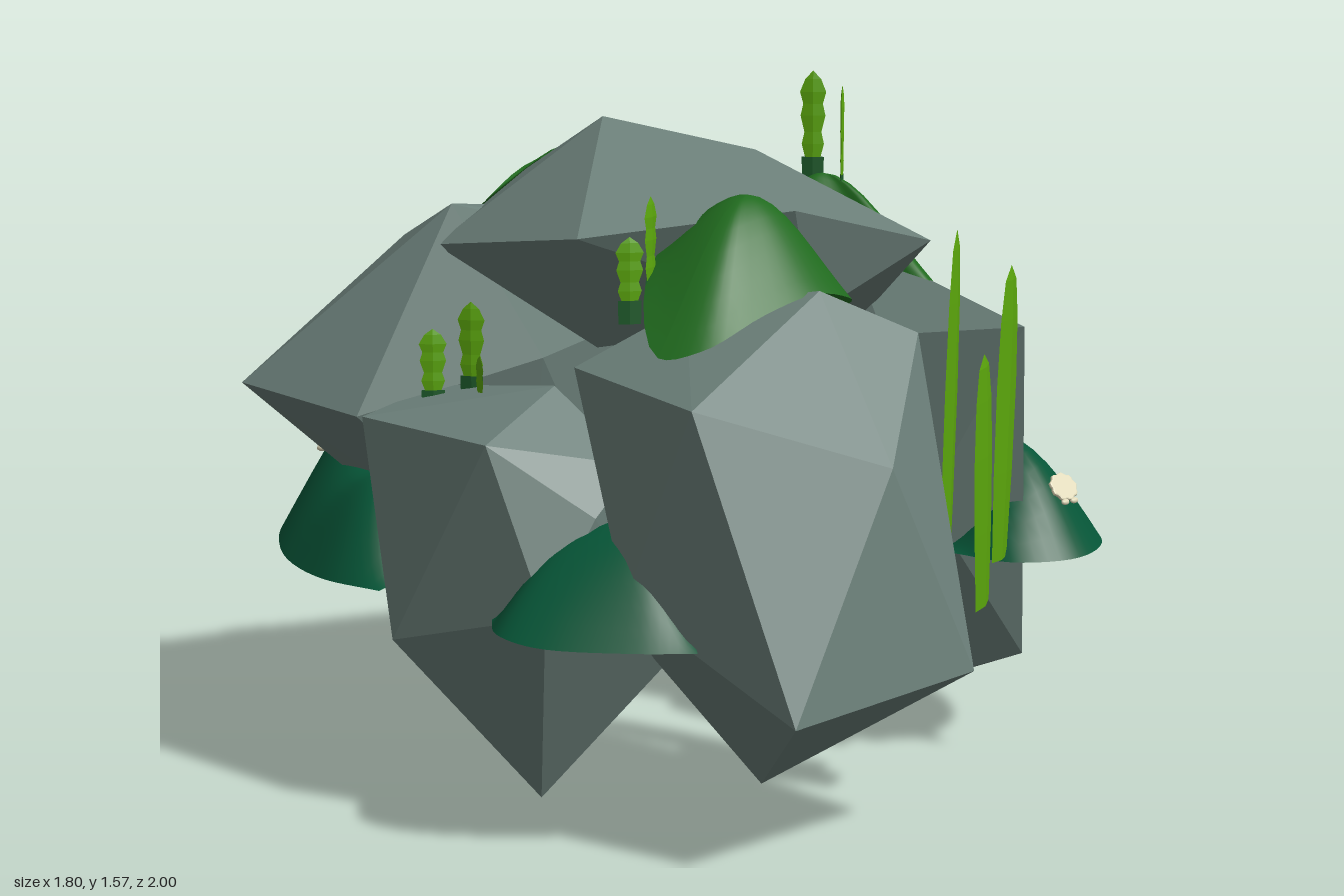
import * as THREE from 'three';
import { ConvexGeometry } from 'three/addons/geometries/ConvexGeometry.js';

const V = (p) => new THREE.Vector3(p[0], p[1], p[2]);
const mat = (name, color, side = THREE.FrontSide) => {
  const m = new THREE.MeshStandardMaterial({ color, side });
  m.name = name;
  return m;
};

export function createModel() {
  const root = new THREE.Group();
  root.name = 'rockArch';
  const stone = mat('stone', 0x6b7f79);
  stone.flatShading = true;
  const shelfGreen = mat('darkMoss', 0x065537, THREE.DoubleSide);
  const mossGreen = mat('moss', 0x206a1e, THREE.DoubleSide);
  const grass = mat('grass', 0x5ca80c, THREE.DoubleSide);
  const stem = mat('grassBase', 0x1d5a2a, THREE.DoubleSide);
  const bone = mat('paleShell', 0xe0d9b8);
  const rust = mat('rustShell', 0x78360c);

  const add = (name, geo, material, parent = root) => {
    const m = new THREE.Mesh(geo, material);
    m.name = name;
    parent.add(m);
    return m;
  };

  // Boulders: convex hulls of a few corners
  const boulders = {
    frontLeg: [[-.55, .34, 1], [-.01, .37, .97], [-.32, .1, .63], [-.2, .83, .91], [-.62, .98, .75],
      [.05, 1.07, .72], [-.15, 1.17, .62], [-.66, .55, .58], [-.55, 1, .27], [.07, 1.07, .43],
      [.02, .45, .5], [-.3, 1.12, .35], [-.45, .4, .35]],
    sideLeg: [[-.61, .03, .22], [-.88, .4, .04], [-.8, .86, .28], [-.55, .95, .2], [-.58, .9, -.2],
      [-.84, .87, -.12], [-.75, .5, .42], [-.4, .35, -.25], [-.38, .35, .4], [-.5, .8, .42], [-.62, .7, .43]],
    backBoulder: [[-.9, .9, -.51], [-.82, .86, -.17], [-.53, 1.31, -.2], [-.32, 1.17, -.68], [-.02, 1.24, -.45],
      [0, .88, -.86], [.34, .76, -.87], [.42, 1.13, -.4], [.12, .25, -.27], [.4, .5, -.78], [-.57, .62, -.5],
      [-.3, .4, -.25], [.3, .5, -.35], [-.35, .95, -.1], [.4, 1.06, -.26]],
    capstone: [[-.22, 1.5, -.04], [.24, 1.39, -.04], [.43, 1.2, .36], [.43, 1.24, -.33], [-.07, 1.32, .45],
      [-.54, 1.28, .27], [-.57, 1.22, -.21], [-.15, 1.34, -.42], [.06, 1.06, .36], [.38, 1.02, .2],
      [.38, 1.02, -.25], [-.35, 1.0, .1], [-.1, 1.0, -.35]],
    rightLeg: [[.37, 0, -.02], [.64, 0, -.02], [.51, .25, .6], [.5, 1.02, .6], [.72, .64, .25],
      [.72, .62, -.42], [.65, 1.02, -.41], [.64, 1.08, 0], [.42, 1.12, -.4], [.34, .98, .3],
      [.45, 1.17, .05], [.33, .55, 0], [.42, .35, -.42], [.6, .24, -.65], [.37, .6, .42]],
  };
  for (const [name, pts] of Object.entries(boulders)) add(name, new ConvexGeometry(pts.map(V)), stone);

  // Builds a smooth surface from a grid of points
  function grid(rows) {
    const n = rows[0].length, pos = rows.flat().flatMap((p) => [p.x, p.y, p.z]), idx = [];
    for (let i = 0; i < rows.length - 1; i++) for (let j = 0; j < n - 1; j++) {
      const a = i * n + j, b = a + n;
      idx.push(a, b, a + 1, b, b + 1, a + 1);
    }
    const g = new THREE.BufferGeometry();
    g.setAttribute('position', new THREE.Float32BufferAttribute(pos, 3));
    g.setIndex(idx);
    g.computeVertexNormals();
    return g;
  }

  // Moss shelf: open skin lofted between a low outer rim and a high inner line
  function shelf(name, stations) {
    const outer = new THREE.CatmullRomCurve3(stations.map((s) => new THREE.Vector3(s[0], s[2], s[1])));
    const inner = new THREE.CatmullRomCurve3(stations.map((s) => new THREE.Vector3(s[3], s[5], s[4])));
    const rows = [], N = stations.length * 5;
    for (let i = 0; i <= N; i++) {
      const o = outer.getPoint(i / N), q = inner.getPoint(i / N), row = [];
      for (let k = 0; k <= 7; k++) {
        const s = k / 7, p = o.clone().lerp(q, s);
        p.y = o.y + (q.y - o.y) * Math.sin(s * Math.PI / 2);
        row.push(p);
      }
      rows.push(row);
    }
    add(name, grid(rows), shelfGreen);
  }
  // outer x, z, y then inner x, z, y
  shelf('longMossShelf', [
    [.38, .5, .49, .46, .36, .51], [.42, .66, .49, .52, .47, .64], [.56, .72, .49, .6, .45, .73],
    [.75, .62, .49, .64, .4, .71], [.9, .27, .48, .66, .25, .64], [.84, .1, .48, .66, .1, .59],
    [.74, -.1, .48, .6, -.1, .54], [.76, -.42, .49, .47, -.36, 1.0], [.72, -.62, .48, .36, -.46, .96],
    [.58, -.77, .48, .31, -.6, .78], [.36, -.83, .48, .25, -.7, .62], [.13, -.86, .46, .1, -.7, .62],
    [-.04, -.96, .43, -.08, -.72, .74], [-.22, -1, .42, -.22, -.7, .81], [-.42, -.96, .44, -.38, -.66, .82],
    [-.62, -.78, .48, -.5, -.55, .76], [-.8, -.5, .48, -.62, -.4, .68], [-.86, -.26, .48, -.7, -.22, .68],
    [-.83, -.08, .48, -.72, -.08, .5]]);
  shelf('frontMossShelf', [
    [-.78, .27, .48, -.68, .28, .5], [-.87, .41, .48, -.62, .36, .65], [-.85, .52, .47, -.56, .43, .69],
    [-.72, .69, .47, -.56, .53, .67], [-.62, .77, .47, -.58, .7, .49]]);

  // Moss caps: domes from a rim up to a peak
  function cap(name, peak, rim) {
    const curve = new THREE.CatmullRomCurve3(rim.map(V), true), top = V(peak), rows = [];
    for (let i = 0; i <= 40; i++) {
      const r = curve.getPoint(i / 40), row = [];
      for (let k = 0; k <= 8; k++) {
        const t = k / 8, p = top.clone().lerp(r, t);
        p.y = r.y + (top.y - r.y) * (0.2 + 0.2 * Math.cos(t * Math.PI) + (1 - t * t) * 0.6);
        row.push(p);
      }
      rows.push(row);
    }
    add(name, grid(rows), mossGreen);
  }
  cap('frontMossCap', [-.17, 1.36, .4], [[-.52, 1.05, .52], [-.4, 1.2, .34], [-.2, 1.29, .27], [-.04, 1.23, .33],
    [.05, 1.1, .45], [0, 1.13, .56], [-.14, 1.16, .6], [-.3, 1.13, .61], [-.46, 1.07, .6]]);
  cap('backMossCap', [0, 1.39, -.42], [[-.31, 1.28, -.37], [-.13, 1.36, -.41], [0, 1.37, -.35], [.12, 1.34, -.41],
    [.25, 1.23, -.38], [.13, 1.16, -.6], [-.01, 1.1, -.69], [-.16, 1.2, -.6]]);
  cap('rightMossCap', [.39, 1.33, .03], [[.3, 1.26, 0], [.36, 1.24, -.1], [.49, 1.14, -.15], [.6, 1.08, .02],
    [.57, 1.08, .2], [.46, 1.1, .32], [.4, 1.14, .2]]);

  // Flat-faced blade: flattened four-sided lathe; profile rows are [half width, height share]
  const tall = [[.75, 0], [.95, .3], [1, .6], [.85, .82], [.55, .95], [0, 1]];
  const jointed = [[.55, .25], [.85, .38], [.65, .48], [.95, .62], [.75, .72], [1, .82], [.6, .93], [0, 1]];
  function blade(name, base, tip, width, turn, profile, stemShare) {
    const a = V(base), d = V(tip).sub(a), h = d.length();
    const g = new THREE.Group();
    g.name = name;
    const lathe = (rows) => {
      const geo = new THREE.LatheGeometry(rows.map(([r, y]) => new THREE.Vector2(r * width / 2, y * h)), 4);
      const flat = geo.scale(1, 1, .16).toNonIndexed();
      flat.computeVertexNormals();
      return flat;
    };
    add('blade', lathe(profile), grass, g);
    if (stemShare) add('stem', lathe([[.8, 0], [.85, stemShare]]), stem, g);
    g.position.copy(a);
    g.quaternion.setFromUnitVectors(new THREE.Vector3(0, 1, 0), d.normalize());
    g.rotateY(turn);
    root.add(g);
  }
  blade('tallBlade', [.13, .47, .85], [.09, 1.04, .885], .13, .5, tall, 0);
  blade('tallBlade', [.155, .39, .7], [.155, 1.29, .73], .11, .55, tall, .07);
  blade('tallBlade', [.385, .5, .645], [.395, 1.18, .66], .12, .42, tall, 0);
  // x, bottom, top, z, turn
  const tufts = [[-.475, 1.1, 1.29, .37, -.5], [-.4, 1.12, 1.37, .35, .45], [-.66, .86, 1.05, -.1, -.6],
    [-.59, .88, 1.11, -.05, -.9], [-.62, .84, 1.0, .02, 1.2], [.385, 1.29, 1.57, 0, -.75],
    [.415, 1.25, 1.54, .07, .75], [-.28, .76, .97, -.84, .8]];
  for (const [x, y0, y1, z, turn] of tufts) blade('grassTuft', [x, y0, z], [x, y1, z], .062, turn, jointed, .27);

  // Fan shells resting on the moss
  function fanShell(pos, size, tilt, turn) {
    const g = new THREE.Group();
    g.name = 'fanShell';
    const fan = new THREE.Shape();
    for (let i = 0; i <= 32; i++) {
      const t = i / 32 * Math.PI * 2, r = 1 + .07 * Math.cos(t * 9);
      fan[i ? 'lineTo' : 'moveTo'](Math.cos(t) * r, Math.sin(t) * r * .85);
    }
    const geo = new THREE.ExtrudeGeometry(fan, { depth: .06, bevelSize: .1, bevelThickness: .1, bevelSegments: 2 });
    add('fan', geo, bone, g);
    for (const s of [-1, 1]) {
      const ear = add('ear', new THREE.SphereGeometry(.35, 8, 6), bone, g);
      ear.scale.set(1, .6, .5);
      ear.position.set(s * .4, -1.02, .05);
    }
    g.scale.setScalar(size);
    g.rotation.set(tilt, turn, 0, 'YXZ');
    g.position.set(...pos);
    root.add(g);
  }
  fanShell([-.385, .672, -.86], .062, -.75, Math.PI);
  fanShell([.61, .635, .625], .036, -.6, 0);

  // Ridged spiral shell
  const ridges = [[0, 0]];
  for (let i = 0; i < 6; i++) {
    const r = .015 + i * .005;
    ridges.push([r, i * .031 + .004], [r + .006, i * .031 + .02], [r, i * .031 + .029]);
  }
  ridges.push([0, .19]);
  const spiral = add('spiralShell', new THREE.LatheGeometry(ridges.map(([r, y]) => new THREE.Vector2(r, y)), 10), rust);
  spiral.position.set(.46, .75, -.66);
  spiral.quaternion.setFromUnitVectors(new THREE.Vector3(0, 1, 0), new THREE.Vector3(.07, .12, .12).normalize());

  return root;
}
